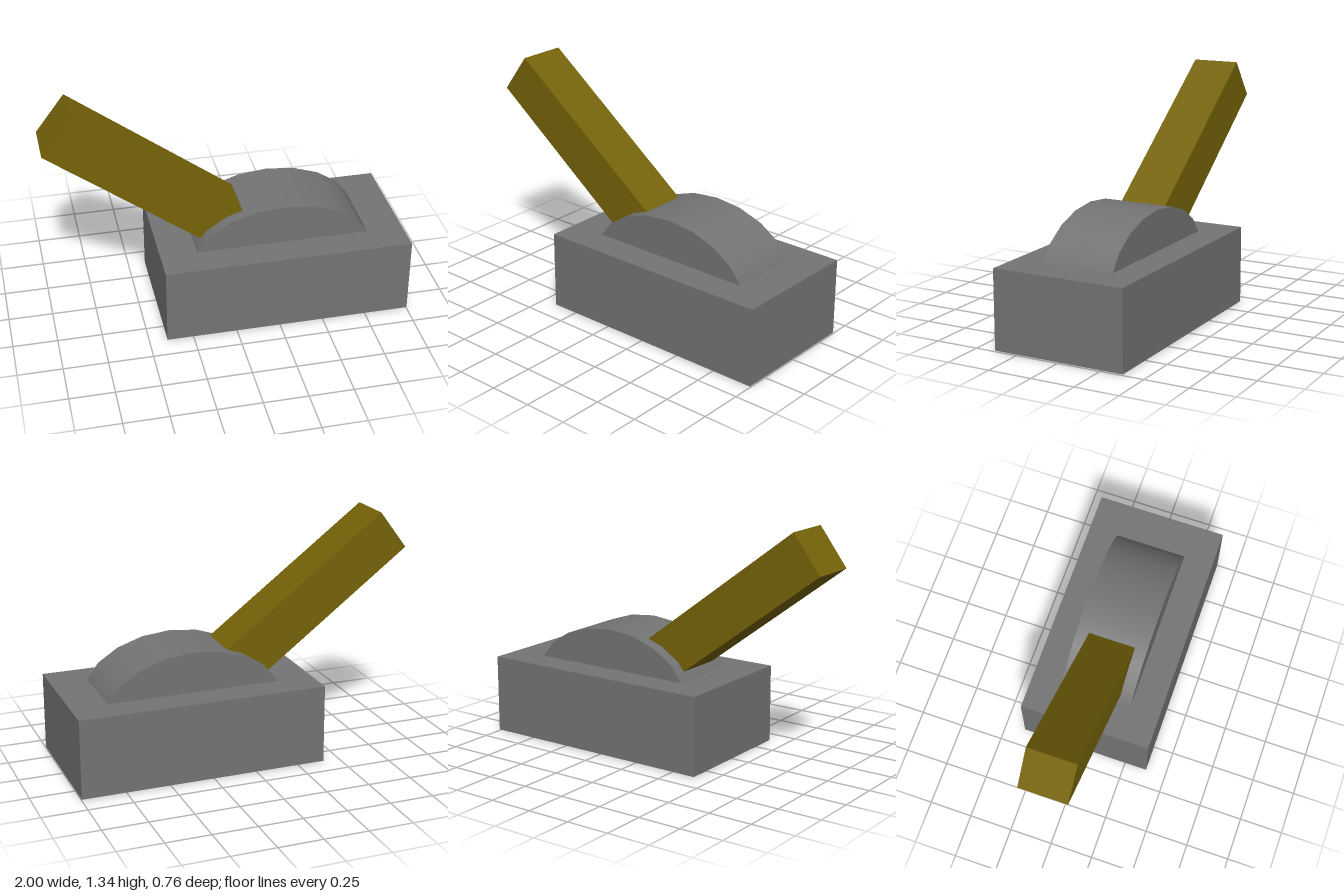
import * as THREE from 'three';

export function createModel() {
  const group = new THREE.Group();
  const grey = new THREE.MeshStandardMaterial({ color: 0x747474 });
  const yellow = new THREE.MeshStandardMaterial({ color: 0x756309 });

  const add = (name, geometry, material, x, y) => {
    const mesh = new THREE.Mesh(geometry, material);
    mesh.name = name;
    mesh.position.set(x, y, 0);
    group.add(mesh);
    return mesh;
  };

  // Rectangular housing
  add('base', new THREE.BoxGeometry(1.4, 0.446, 0.764), grey, 0.3, 0.229);

  // Flattened 20-sided drum, mostly sunk into the housing
  const drum = new THREE.CylinderGeometry(1, 1, 0.416, 20);
  drum.rotateX(Math.PI / 2).scale(0.522, 0.341, 1);
  add('pivotDrum', drum, grey, 0.3, 0.341);

  // Square lever tilted to the side, rooted inside the drum
  const tilt = THREE.MathUtils.degToRad(-37);
  const length = 1.5;
  const lever = add('lever', new THREE.BoxGeometry(length, 0.266, 0.274), yellow,
    -0.92 + Math.cos(tilt) * length / 2, 1.235 + Math.sin(tilt) * length / 2);
  lever.rotation.z = tilt;

  return group;
}
